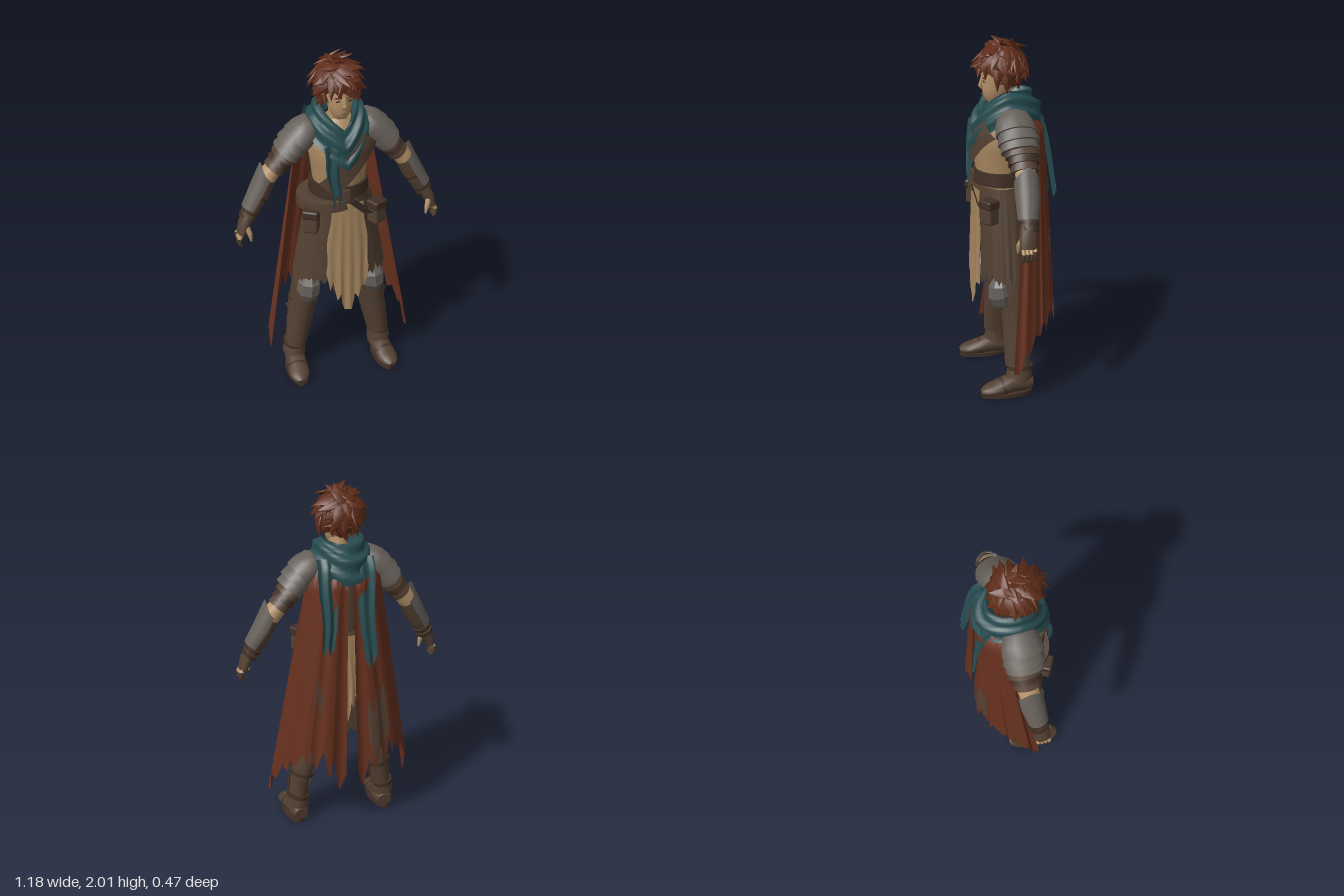
import * as THREE from 'three';
import { mergeGeometries, toCreasedNormals } from 'three/addons/utils/BufferGeometryUtils.js';
import { RoundedBoxGeometry } from 'three/addons/geometries/RoundedBoxGeometry.js';

const paint = (name, color) => new THREE.MeshStandardMaterial({ name, color, side: THREE.DoubleSide });
const rand = (n) => { const s = Math.sin(n * 127.1 + 3.7) * 43758.5453; return s - Math.floor(s); };
const V = (x, y, z) => new THREE.Vector3(x, y, z);
const { lerp } = THREE.MathUtils;
const PI = Math.PI;

// Skin over elliptical sections [x, y, z, radiusA, radiusB]; an arc makes an open shell with a peaked top
function loft(secs, { ref = V(0, 0, 1), seg = 16, arc = null, peak = 0, crease = 0.8 } = {}) {
  const pos = [], idx = [], P = secs.map((s) => V(s[0], s[1], s[2])), last = P.length - 1;
  const [a0, a1] = arc || [0, 2 * PI], row = seg + 1;
  P.forEach((p, i) => {
    const t = P[Math.min(i + 1, last)].clone().sub(P[Math.max(i - 1, 0)]).normalize();
    const n = t.clone().cross(ref).normalize(), b = n.clone().cross(t).normalize();
    for (let j = 0; j <= seg; j++) {
      const a = lerp(a0, a1, j / seg), q = p.clone();
      q.addScaledVector(n, Math.cos(a) * secs[i][3]).addScaledVector(b, Math.sin(a) * secs[i][4]);
      if (i === 0) q.addScaledVector(t, -peak * Math.sin(PI * j / seg) ** 2);
      pos.push(q.x, q.y, q.z);
      const k = i * row + j;
      if (i < last && j < seg) idx.push(k, k + row, k + 1, k + 1, k + row, k + row + 1);
    }
  });
  if (!arc) {
    const c = pos.length / 3, e = last * row;
    pos.push(...P[0].toArray(), ...P[last].toArray());
    for (let j = 0; j < seg; j++) idx.push(c, j, j + 1, c + 1, e + j + 1, e + j);
  }
  const g = new THREE.BufferGeometry();
  g.setAttribute('position', new THREE.Float32BufferAttribute(pos, 3));
  g.setIndex(idx);
  return toCreasedNormals(g, crease);
}

// Cloth sheet: fn(u, v) gives [x, y, z], v runs downward
function cloth(fn, nu = 24, nv = 12) {
  const g = new THREE.PlaneGeometry(1, 1, nu, nv), p = g.attributes.position;
  for (let i = 0; i < p.count; i++) p.setXYZ(i, ...fn(p.getX(i) + 0.5, 0.5 - p.getY(i)));
  g.computeVertexNormals();
  return g;
}
// Torn hem: 0..1 tooth height along u
const jag = (u, k, seed) => Math.abs(((u * k) % 1) - 0.5) * 2 * (0.3 + 0.7 * rand(Math.floor(u * k) + seed));
const quad = (a, b, c, t) => (1 - t) ** 2 * a + 2 * t * (1 - t) * b + t * t * c;

// Cape half from spine (u = 0) to outer edge (u = 1); the top tucks in over the shoulder
function capeAt(u, v) {
  const hem = quad(0.2, 0.7, 0.12, u) + 0.2 * jag(u, 8, 11) * (1 - 0.6 * u), fold = Math.sin(u * 24) * (0.004 + 0.01 * v);
  const tuck = Math.max(0, 1 - v / 0.07);
  const x = lerp(quad(0.012, 0.15, 0.195, u), quad(0.035, 0.34, 0.43, u), v) * (1 - 0.25 * tuck);
  const z = lerp(quad(-0.185, -0.19, -0.06, u), quad(-0.225, -0.25, 0.08, u), v) + 0.09 * tuck;
  return [x + fold * u, lerp(1.62, hem, v), z + fold * (1 - u * 0.5)];
}

export function createModel() {
  const M = {
    hair: paint('auburn hair', 0x5e2b18), skin: paint('skin', 0xb6936a), tan: paint('tan linen', 0xa5855e),
    teal: paint('teal scarf', 0x264b4f), cape: paint('rust cape', 0x66301e), steel: paint('dull steel', 0x655f59),
    brown: paint('brown leather', 0x534032), dark: paint('dark leather', 0x402f25),
  };
  const model = new THREE.Group();
  model.name = 'wanderer';
  const left = new THREE.Group();
  left.name = 'leftSide';
  const add = (name, mat, geo, parent = model) => {
    const m = new THREE.Mesh(geo, M[mat]);
    m.name = name;
    parent.add(m);
    return m;
  };
  const box = (name, mat, s, p, parent, r = 0.004, turn = 0) => {
    const m = add(name, mat, new RoundedBoxGeometry(...s, 2, Math.min(r, Math.min(...s) / 2.1)), parent);
    m.position.set(...p);
    m.rotation.y = turn;
    return m;
  };

  // Head and face
  add('head', 'skin', loft([[0, 1.652, 0.105, 0.022, 0.03], [0, 1.675, 0.092, 0.046, 0.055], [0, 1.72, 0.072, 0.064, 0.08],
    [0, 1.78, 0.055, 0.072, 0.095], [0, 1.84, 0.05, 0.076, 0.1], [0, 1.9, 0.045, 0.065, 0.09], [0, 1.94, 0.04, 0.03, 0.05]], { seg: 24 }));
  add('neck', 'skin', loft([[0, 1.52, 0.01, 0.07, 0.065], [0, 1.62, 0.025, 0.052, 0.056], [0, 1.73, 0.04, 0.052, 0.058]]));
  add('nose', 'skin', loft([[0, 1.8, 0.145, 0.007, 0.006], [0, 1.745, 0.156, 0.012, 0.012], [0, 1.732, 0.15, 0.011, 0.006]], { seg: 8 }));
  box('mouth', 'brown', [0.032, 0.003, 0.005], [0, 1.7, 0.148]);
  for (const s of [-1, 1]) {
    box('eye', 'dark', [0.024, 0.008, 0.007], [s * 0.032, 1.775, 0.142]);
    box('brow', 'hair', [0.036, 0.007, 0.008], [s * 0.033, 1.794, 0.143]).rotation.z = s * 0.22;
  }

  // Hair: cap with swept curved locks, fuller at the sides
  const C = V(-0.01, 1.857, 0.034), E = V(0.096, 0.1, 0.113), locks = [];
  const N = 135;
  for (let i = 0; i < N; i++) {
    const y = 1 - 1.85 * (i + 0.5) / N, r = Math.sqrt(1 - y * y), a = i * 2.39996;
    const d = V(r * Math.cos(a), y, r * Math.sin(a));
    if (d.z > 0.42 && d.y < 0.1 || d.z > 0.15 && d.y < -0.4) continue;
    const t = V(rand(i) - 0.5 + d.x * 0.4, -0.75 + rand(i + 50) * 0.7, rand(i + 90) - 0.5);
    t.addScaledVector(d, -t.dot(d)).normalize();
    const len = 0.055 + 0.05 * rand(i + 7), at = (k, s) => C.clone().add(d.clone().multiply(E).multiplyScalar(k)).addScaledVector(t, s * len);
    const w = 0.026 + 0.014 * rand(i + 20), k = 1.1 + 0.2 * rand(i + 30);
    locks.push(loft([[...at(0.75, -0.35), w * 0.8, w], [...at(1.06, 0), 0.018, w], [...at(1.13, 0.55), 0.013, w * 0.75], [...at(k, 1.15), 0.001, 0.001]],
      { ref: d.clone().cross(t), seg: 7, crease: 0.8 }));
  }
  for (const [x, h, z, lean] of [[0.0, 2, 0.03, 0.04], [-0.04, 1.985, 0.05, -0.05], [0.03, 1.98, 0.0, 0.06]])
    locks.push(loft([[x, 1.92, z, 0.022, 0.026], [x - lean * 0.3, 1.965, z, 0.013, 0.018], [x + lean, h, z + 0.01, 0.001, 0.001]], { seg: 6, crease: 0.5 }));
  // Sideburn and fringe locks framing the face
  for (const [x, y, z, tx, ty, tz] of [[0.075, 1.85, 0.08, 0.1, 1.73, 0.085], [0.08, 1.84, 0.04, 0.105, 1.71, 0.03], [-0.08, 1.85, 0.08, -0.11, 1.73, 0.09],
    [-0.08, 1.84, 0.04, -0.115, 1.71, 0.035], [0.045, 1.9, 0.13, 0.07, 1.79, 0.145], [-0.045, 1.9, 0.13, -0.07, 1.785, 0.145], [-0.02, 1.9, 0.14, -0.035, 1.805, 0.165], [0.015, 1.9, 0.14, 0.03, 1.815, 0.16]])
    locks.push(loft([[x, y, z, 0.016, 0.02], [lerp(x, tx, 0.6) * 1.1, lerp(y, ty, 0.45), lerp(z, tz, 0.5) + 0.004, 0.017, 0.02], [tx, ty, tz, 0.001, 0.001]], { seg: 7 }));
  const cap = new THREE.SphereGeometry(1, 20, 12, 0, 2 * PI, 0, 1.9).scale(0.098, 0.102, 0.108).rotateX(-0.45).translate(-0.008, 1.857, 0.03);
  cap.deleteAttribute('uv');
  locks.push(cap.toNonIndexed());
  add('hair', 'hair', mergeGeometries(locks));

  // Torso, diagonal strap and back vest
  add('shirt', 'tan', loft([[0, 1.18, 0.045, 0.15, 0.135], [0, 1.28, 0.045, 0.145, 0.139], [0, 1.4, 0.045, 0.16, 0.15],
    [0, 1.5, 0.04, 0.176, 0.147], [0, 1.57, 0.025, 0.15, 0.12], [0, 1.64, 0.02, 0.07, 0.07]], { seg: 28 }));
  add('chestStrap', 'brown', cloth((u, v) => {
    const x = lerp(0.15, -0.105, v) + (u - 0.5) * 0.085, y = lerp(1.54, 1.27, v) - (u - 0.5) * 0.085;
    return [x, y, 0.058 + 0.149 * Math.sqrt(Math.max(0, 1 - (x / 0.21) ** 2)) - Math.max(0, y - 1.5) * 0.3];
  }, 6, 12));
  add('backVest', 'brown', cloth((u, v) => {
    const a = lerp(1.65, 2 * PI - 1.65, u), rx = quad(0.157, 0.172, 0.189, 1 - v);
    return [rx * Math.sin(a), lerp(1.55, 1.2, v), 0.042 + 0.154 * Math.cos(a)];
  }));

  // Belts, buckle and front cloths
  add('belt', 'dark', loft([[0, 1.205, 0.045, 0.168, 0.154], [0, 1.28, 0.045, 0.163, 0.152]], { seg: 28 }));
  const low = add('slungBelt', 'brown', loft([[0, 1.145, 0.045, 0.184, 0.168], [0, 1.2, 0.045, 0.178, 0.162]], { seg: 28 }));
  low.rotation.z = 0.05;
  box('buckle', 'brown', [0.06, 0.06, 0.02], [-0.01, 1.24, 0.198]);
  add('beltTab', 'dark', cloth((u, v) => [0.03 + 0.1 * v + (u - 0.5) * 0.055, 1.2 - 0.1 * v, 0.217 - 0.015 * v], 2, 4));
  const apron = (z, dir, w, tip, seed) => cloth((u, v) => {
    const s = u - 0.5, bottom = tip + 0.42 * Math.abs(s) + 0.12 * jag(u, 6, seed);
    const x = s * w * (1 + 0.38 * v) + 0.012 * Math.sin(v * 9 + seed) * s + 0.008;
    return [x, lerp(1.18, bottom, v), z + dir * (0.014 * v - 1.2 * x * x + 0.005 * Math.sin(u * 26) * v)];
  }, 48, 12);
  add('frontCloth', 'tan', apron(0.2, 1, 0.185, 0.45, 3));
  add('backCloth', 'tan', apron(-0.125, -1, 0.14, 0.62, 8));

  // Skirt of overlapping leather panels, cut higher over the knees
  for (let k = 0; k < 9; k++) {
    const a0 = 0.36 + k * 0.605, off = (k % 2) * 0.009, hem = k < 2 || k > 6 ? 0.655 : 0.57;
    add('skirtPanel', 'brown', cloth((u, v) => {
      const a = a0 + u * 0.72, rx = lerp(0.172, 0.26, v) + off, rz = lerp(0.148, 0.15, v) + off;
      return [rx * Math.sin(a), lerp(1.2, hem + 0.08 * jag(u, 3, k), v), 0.04 + rz * Math.cos(a)];
    }, 18, 8));
  }

  // Scarf: folded cowl, pointed in front and draped behind, with hanging ends
  add('scarfCowl', 'teal', cloth((u, v) => {
    const a = 2 * PI * (u - 0.5), f = Math.max(0, 1 - Math.abs(a) / 1.45) ** 1.2, k = v * 3, i = Math.min(2, Math.floor(k)), m = k - i;
    const at = (arr) => lerp(arr[i], arr[i + 1], m), fold = 0.007 * Math.sin(v * 22 + 2.5 * Math.sin(a));
    const drape = 0.07 * v * Math.max(0, -Math.cos(a)) ** 2;
    return [(at([0.072, 0.108, 0.152, 0.178]) + fold) * Math.sin(a), at([1.66, 1.735, 1.67, 1.575]) - f * (0.11 + 0.07 * v) - drape + fold,
      0.015 + (at([0.085, 0.13, 0.187, 0.205]) + fold + drape * 0.15) * Math.cos(a)];
  }, 72, 24));
  const tail = (x0, x1, y0, y1, z0, z1, w, seed) => cloth((u, v) => [
    lerp(x0, x1, v) + (u - 0.5) * w * (1 - 0.45 * v) + 0.006 * Math.sin(v * 7 + seed),
    lerp(y0, y1 + 0.13 * jag(u, 2, seed), v), lerp(z0, z1, Math.sqrt(v)) + 0.007 * Math.sin(u * 10 + seed)], 16, 14);
  add('scarfFrontEnd', 'teal', tail(-0.075, -0.062, 1.54, 1.17, 0.185, 0.214, 0.11, 1));
  add('scarfBackEnd', 'teal', tail(-0.085, -0.1, 1.64, 1.03, -0.13, -0.232, 0.115, 4));
  add('scarfBackEnd', 'teal', tail(0.11, 0.14, 1.64, 1.12, -0.11, -0.23, 0.12, 6));

  // Cape halves, torn at the hem and open along the spine, with a few stained patches
  add('cape', 'cape', cloth(capeAt, 90, 24), left);
  for (const [side, u0, u1, v0, v1, mat] of [[-1, 0.12, 0.4, 0.66, 0.95, 'brown'], [1, 0.3, 0.44, 0.58, 0.72, 'brown'], [1, 0.22, 0.34, 0.3, 0.42, 'teal']])
    add('capePatch', mat, cloth((u, v) => {
      const [x, y, z] = capeAt(lerp(u0, u1, u), lerp(v0 + 0.08 * jag(u, 3, 2), v1 - 0.08 * jag(u, 4, 5), v));
      return [side * (x + 0.002), y, z - 0.006];
    }, 24, 6));

  // Layered shoulder armour
  const L = (name, mat, secs, opt) => add(name, mat, loft(secs, opt), left);
  L('pauldron', 'steel', [[0.12, 1.625, 0.012, 0.025, 0.04], [0.145, 1.605, 0.012, 0.062, 0.085], [0.185, 1.565, 0.012, 0.083, 0.108], [0.23, 1.525, 0.012, 0.084, 0.116]]);
  for (let i = 0; i < 2; i++) {
    const x = 0.22 + i * 0.028, y = 1.535 - i * 0.036;
    L('pauldronPlate', 'steel', [[x, y, 0.01, 0.074 - i * 0.006, 0.104 - i * 0.006], [x + 0.042, y - 0.05, 0.008, 0.085 - i * 0.007, 0.116 - i * 0.008]]);
  }
  for (let i = 0; i < 3; i++) {
    const x = 0.272 + i * 0.025, y = 1.462 - i * 0.033;
    L('sleeveBand', i === 1 ? 'dark' : 'brown', [[x, y, 0, 0.06 - i * 0.002, 0.088 - i * 0.009], [x + 0.034, y - 0.042, 0, 0.068 - i * 0.004, 0.096 - i * 0.01]]);
  }

  // Arm, bracer and forearm guard
  L('sleeve', 'dark', [[0.17, 1.55, 0, 0.06, 0.07], [0.28, 1.44, 0, 0.055, 0.062], [0.36, 1.35, 0, 0.048, 0.055]]);
  L('elbow', 'skin', [[0.33, 1.385, 0, 0.046, 0.055], [0.375, 1.335, 0, 0.052, 0.058], [0.415, 1.27, 0.004, 0.048, 0.054]]);
  L('bracer', 'brown', [[0.398, 1.305, 0.004, 0.054, 0.058], [0.435, 1.23, 0.008, 0.057, 0.058], [0.51, 1.1, 0.024, 0.044, 0.045]]);
  L('forearmGuard', 'steel', [[0.395, 1.32, 0.004, 0.064, 0.068], [0.437, 1.235, 0.008, 0.062, 0.068], [0.498, 1.135, 0.022, 0.052, 0.056]],
    { arc: [PI - 1.6, PI + 1.6], peak: 0.06 });
  for (const [x, y] of [[0.445, 1.215], [0.495, 1.125], [0.512, 1.095]]) {
    const r = 0.058 - (1.215 - y) * 0.08;
    L('bracerStrap', 'dark', [[x, y, 0.016, r, r + 0.003], [x + 0.009, y - 0.016, 0.018, r - 0.002, r + 0.001]]);
  }

  // Gloved hand with bare finger joints
  L('glove', 'brown', [[0.506, 1.105, 0.024, 0.04, 0.044], [0.536, 1.055, 0.03, 0.034, 0.05], [0.558, 0.995, 0.034, 0.024, 0.046]]);
  for (let i = 0; i < 4; i++) {
    const z = 0.002 + i * 0.021, e = i === 0 ? 0.012 : 0;
    L('fingerJoint', 'skin', [[0.556, 1.005, z, 0.013, 0.0115], [0.576, 0.97 + e, z, 0.012, 0.011]], { seg: 8 });
    L('fingertip', 'brown', [[0.575, 0.978 + e, z, 0.013, 0.012], [0.573, 0.945 + e, z, 0.0115, 0.011], [0.56, 0.925 + e, z, 0.005, 0.005]], { seg: 8 });
  }
  L('thumb', 'skin', [[0.532, 1.05, 0.06, 0.018, 0.017], [0.516, 1.005, 0.078, 0.014, 0.014], [0.51, 0.962, 0.08, 0.006, 0.006]], { seg: 8 });

  // Belt pouch
  box('pouch', 'brown', [0.085, 0.13, 0.075], [0.188, 1.08, 0.155], left, 0.015, 0.5);
  box('pouchFlap', 'dark', [0.092, 0.05, 0.083], [0.188, 1.13, 0.156], left, 0.012, 0.5);

  // Leg with faceted knee plate and layered greave
  L('trouserLeg', 'brown', [[0.085, 1.15, 0.03, 0.085, 0.1], [0.13, 0.85, 0.03, 0.088, 0.1], [0.175, 0.66, 0.02, 0.086, 0.096], [0.195, 0.52, 0.0, 0.078, 0.09]]);
  L('kneePlate', 'steel', [[0.182, 0.695, 0.1, 0.03, 0.025], [0.187, 0.645, 0.098, 0.066, 0.064], [0.192, 0.585, 0.09, 0.07, 0.076], [0.197, 0.53, 0.076, 0.048, 0.058], [0.2, 0.485, 0.07, 0.006, 0.015]],
    { seg: 8, crease: 0.3 });
  L('shin', 'brown', [[0.195, 0.56, 0.01, 0.074, 0.08], [0.213, 0.42, -0.018, 0.07, 0.092], [0.245, 0.26, 0.0, 0.056, 0.066], [0.265, 0.08, 0.0, 0.055, 0.06]]);
  L('greave', 'brown', [[0.205, 0.46, 0.0, 0.084, 0.095], [0.222, 0.36, 0.0, 0.074, 0.085]], { arc: [PI / 2 - 1.6, PI / 2 + 1.6], peak: 0.07 });
  L('greave', 'brown', [[0.222, 0.36, 0.0, 0.078, 0.09], [0.256, 0.17, 0.008, 0.062, 0.075]], { arc: [PI / 2 - 1.5, PI / 2 + 1.5], peak: 0.05 });
  for (const [x, y, r] of [[0.208, 0.47, 0.08], [0.23, 0.32, 0.071], [0.258, 0.17, 0.064]])
    L('greaveStrap', 'dark', [[x, y, -0.003, r, r * 1.16], [x + 0.004, y - 0.022, -0.003, r - 0.002, r * 1.14]]);
  add('greaveSpur', 'brown', cloth((u, v) => [lerp(0.262, 0.31, u) - 0.02 * v * u, lerp(0.5, 0.4, v) - 0.05 * u * (1 - v), 0.045 - 0.04 * u], 2, 2), left);

  // Boot
  L('ankleCuff', 'brown', [[0.257, 0.16, 0.0, 0.062, 0.068], [0.263, 0.1, 0.005, 0.068, 0.076]]);
  L('boot', 'brown', [[0.258, 0.055, -0.068, 0.04, 0.04], [0.26, 0.06, -0.03, 0.054, 0.052], [0.263, 0.064, 0.05, 0.057, 0.056], [0.268, 0.052, 0.11, 0.062, 0.044],
    [0.274, 0.042, 0.17, 0.06, 0.032], [0.278, 0.036, 0.205, 0.046, 0.026], [0.28, 0.03, 0.228, 0.022, 0.016]], { ref: V(0, 1, 0) });
  L('toeBand', 'dark', [[0.268, 0.052, 0.1, 0.065, 0.049], [0.27, 0.05, 0.115, 0.064, 0.046]], { ref: V(0, 1, 0) });
  const sole = new THREE.CylinderGeometry(1, 1, 0.02, 24).scale(0.061, 1, 0.15);
  add('sole', 'dark', sole, left).position.set(0.268, 0.01, 0.08);

  // Mirror every paired part
  const right = left.clone();
  right.name = 'rightSide';
  right.scale.x = -1;
  model.add(left, right);
  return model;
}
